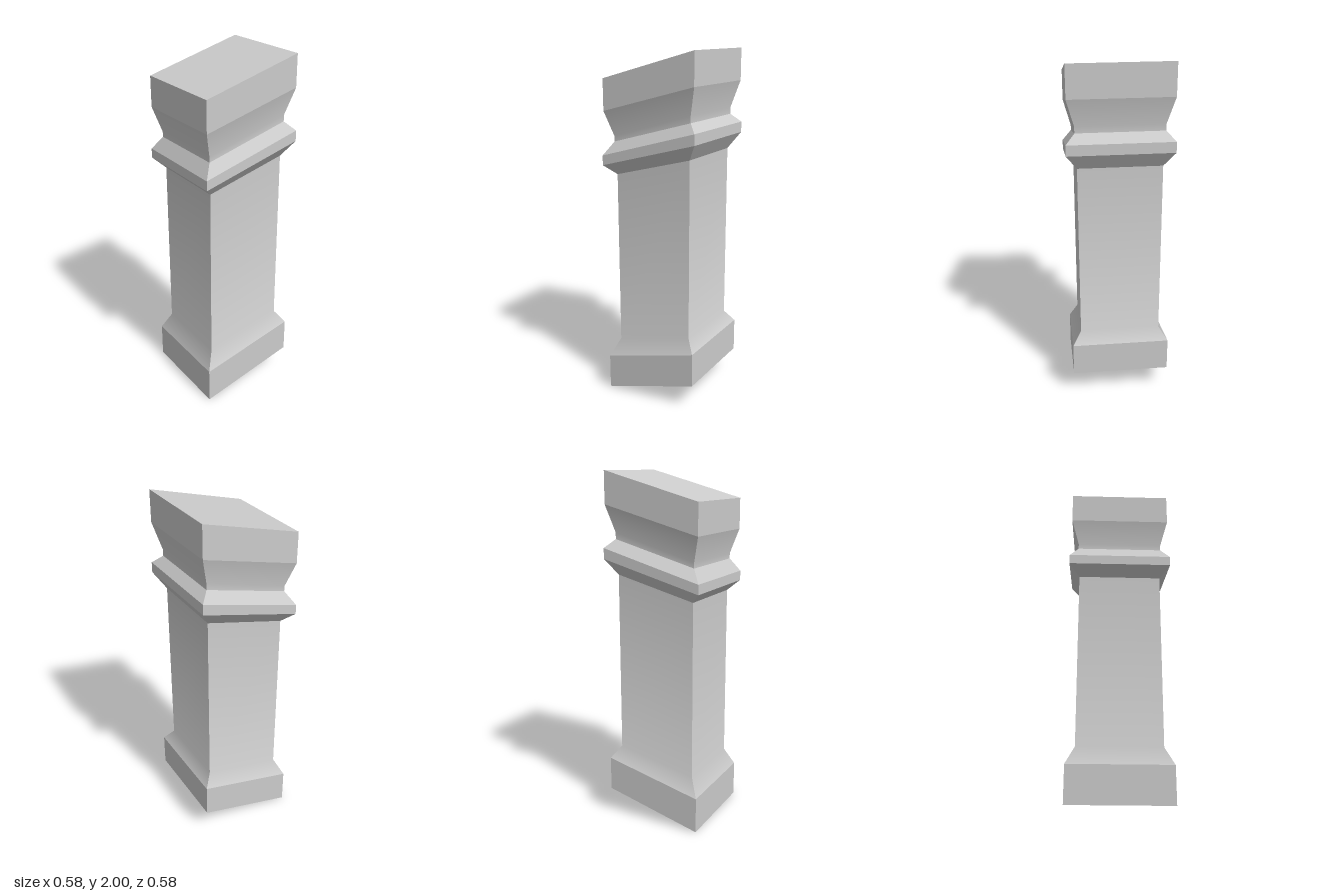
import * as THREE from 'three';

// Square sections, bottom to top: [half width, height at -x side, height at +x side]
const L = [
  [0.28, 0.0, 0.15],
  [0.28, 0.205, 0.345],
  [0.23, 0.31, 0.415],
  [0.23, 1.315, 1.435],
  [0.288, 1.37, 1.525],
  [0.288, 1.425, 1.585],
  [0.239, 1.5, 1.632],
  [0.239, 1.53, 1.668],
  [0.28, 1.67, 1.82],
  [0.28, 1.845, 2.0],
];

// Corners run counter-clockwise as seen from above
const CORNERS = [[-1, 1], [1, 1], [1, -1], [-1, -1]];

function corner([half, yLow, yHigh], i) {
  const [sx, sz] = CORNERS[i % 4];
  return new THREE.Vector3(sx * half, sx < 0 ? yLow : yHigh, sz * half);
}

function buildGeometry(triangles, normals) {
  const g = new THREE.BufferGeometry();
  g.setAttribute('position', new THREE.Float32BufferAttribute(triangles.flatMap(v => v.toArray()), 3));
  if (normals) g.setAttribute('normal', new THREE.Float32BufferAttribute(normals.flatMap(v => v.toArray()), 3));
  else g.computeVertexNormals();
  return g;
}

// Four-sided band: smooth from section to section, sharp at the corners
function band(from, to) {
  const pos = [], nor = [];
  for (let s = 0; s < 4; s++) {
    const faceNormals = [];
    for (let k = from; k < to; k++) {
      const d1 = corner(L[k + 1], s + 1).sub(corner(L[k], s));
      const d2 = corner(L[k + 1], s).sub(corner(L[k], s + 1));
      faceNormals.push(d1.cross(d2).normalize());
    }
    const normalAt = k => {
      const below = faceNormals[Math.max(k - from - 1, 0)];
      const above = faceNormals[Math.min(k - from, faceNormals.length - 1)];
      return below.clone().add(above).normalize();
    };
    for (let k = from; k < to; k++) {
      const a = corner(L[k], s), b = corner(L[k], s + 1);
      const c = corner(L[k + 1], s + 1), d = corner(L[k + 1], s);
      const n0 = normalAt(k), n1 = normalAt(k + 1);
      pos.push(a, b, c, a, c, d);
      nor.push(n0, n0, n1, n0, n1, n1);
    }
  }
  return buildGeometry(pos, nor);
}

// Sloping end face
function lid(level, up) {
  const [a, b, c, d] = [0, 1, 2, 3].map(i => corner(L[level], i));
  return buildGeometry(up ? [a, b, c, a, c, d] : [a, c, b, a, d, c]);
}

export function createModel() {
  const model = new THREE.Group();
  model.name = 'slopedNewelPost';
  const material = new THREE.MeshStandardMaterial({ color: 0xcccccc });
  const add = (name, geometry) => {
    const mesh = new THREE.Mesh(geometry, material);
    mesh.name = name;
    model.add(mesh);
  };

  add('plinthBottom', lid(0, false));
  add('plinth', band(0, 1));
  add('shaft', band(1, 3));
  // Projecting collar with hard edges
  add('collarUnderside', band(3, 4));
  add('collarEdge', band(4, 5));
  add('collarTop', band(5, 6));
  add('neck', band(6, 8));
  add('capBlock', band(8, 9));
  add('capTop', lid(9, true));
  return model;
}
